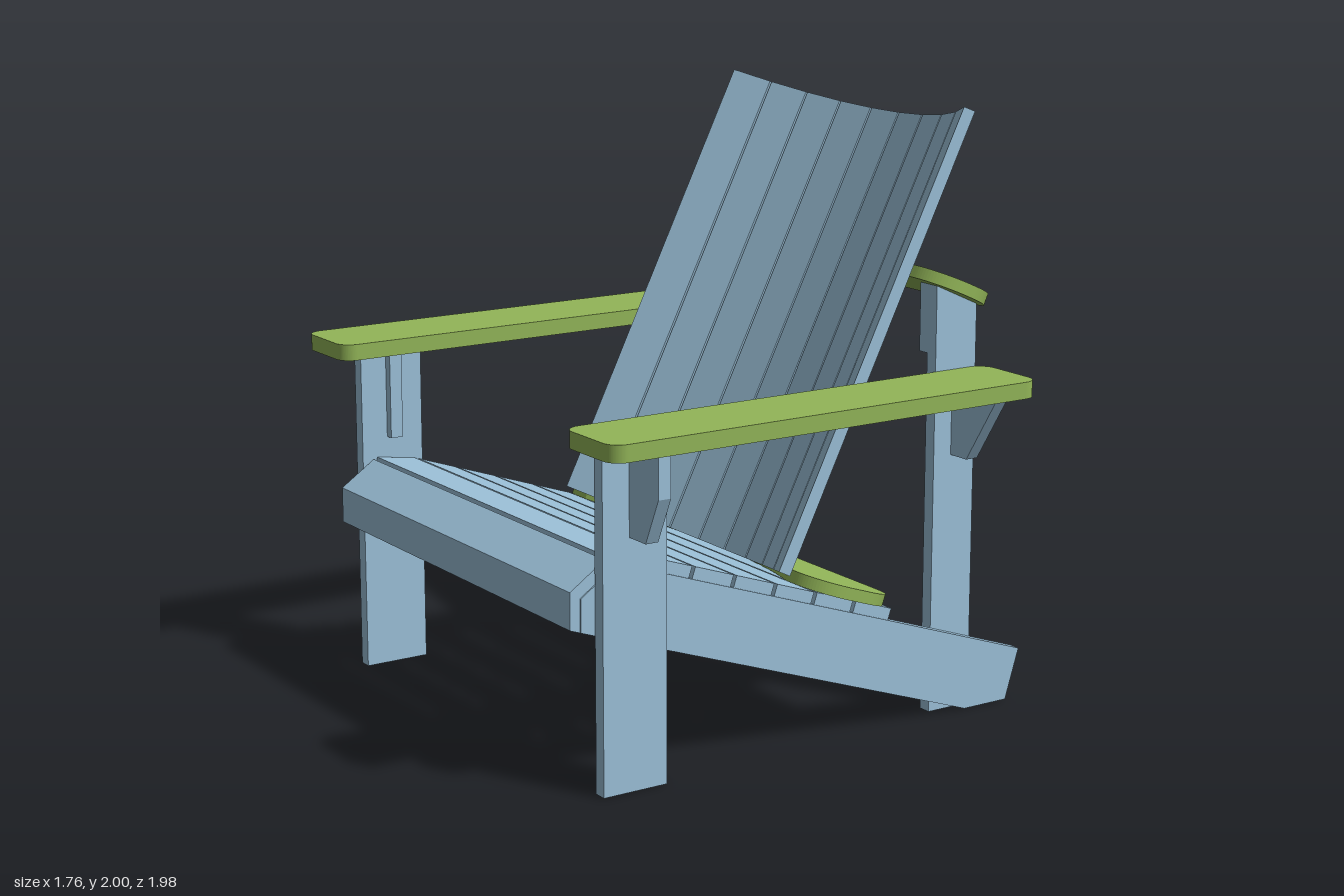
import * as THREE from 'three';

const BLUE = new THREE.MeshStandardMaterial({ color: 0x9bc0d8 });
const GREEN = new THREE.MeshStandardMaterial({ color: 0x92b558 });

function add(parent, name, geometry, material) {
  const mesh = new THREE.Mesh(geometry, material);
  mesh.name = name;
  parent.add(mesh);
  return mesh;
}

const polygon = (pts) => new THREE.Shape(pts.map(([a, b]) => new THREE.Vector2(a, b)));
const extrude = (shape, depth) =>
  new THREE.ExtrudeGeometry(shape, { depth, bevelEnabled: false, curveSegments: 10 });

// Side profile (x, y) extruded from z0 to z1
const sidePlate = (pts, z0, z1) => extrude(polygon(pts), z1 - z0).translate(0, 0, z0);

// Plan outline (x, z) as a board whose top lies at y = 0
const board = (shape, thickness) => extrude(shape, thickness).rotateX(Math.PI / 2);

function roundedRect(x0, x1, z0, z1, r) {
  const s = new THREE.Shape();
  s.absarc(x1 - r, z0 + r, r, -Math.PI / 2, 0);
  s.absarc(x1 - r, z1 - r, r, 0, Math.PI / 2);
  s.absarc(x0 + r, z1 - r, r, Math.PI / 2, Math.PI);
  s.absarc(x0 + r, z0 + r, r, Math.PI, Math.PI * 1.5);
  s.closePath();
  return s;
}

// Round-ended board with a concave front edge that cradles the back slats
function cradle(length, halfWidth, r, halfChord, depth) {
  const R = (halfChord ** 2 + depth ** 2) / (2 * depth);
  const a = Math.asin(halfChord / R);
  const s = new THREE.Shape();
  s.absarc(length - r, -halfWidth + r, r, -Math.PI / 2, 0);
  s.absarc(length - r, halfWidth - r, r, 0, Math.PI / 2);
  s.absarc(r, halfWidth - r, r, Math.PI / 2, Math.PI);
  for (let i = 0; i <= 24; i++) {
    const t = a - (2 * a * i) / 24;
    s.lineTo(depth - R + R * Math.cos(t), R * Math.sin(t));
  }
  s.absarc(r, -halfWidth + r, r, Math.PI, Math.PI * 1.5);
  s.closePath();
  return s;
}

const seatTop = (x) => 0.711 - 0.345 * (x + 0.57);

export function createModel() {
  const chair = new THREE.Group();
  chair.name = 'slattedGardenChair';

  // Legs, rails, brackets and arms on each side
  for (const side of [1, -1]) {
    const label = side > 0 ? 'Front' : 'Back';
    const plate = (name, pts, z0, z1) =>
      add(chair, name + label, side > 0 ? sidePlate(pts, z0, z1) : sidePlate(pts, -z1, -z0), BLUE);

    plate('armPost', [[-0.8, 0], [-0.57, 0], [-0.57, 1.1], [-0.8, 1.1]], 0.75, 0.795);
    plate('rearLeg', [[0.525, 0], [0.69, 0], [0.69, 1.365], [0.525, 1.44]], 0.665, 0.71);
    plate('backCleat', [[0.525, 1.21], [0.69, 1.21], [0.69, 1.365], [0.525, 1.44]], 0.625, 0.665);
    plate('seatRail', [
      [-0.85, 0.523], [0.645, 0], [0.82, 0], [0.873, 0.17], [0.34, 0.355],
      [-0.59, 0.676], [-0.75, 0.698], [-0.85, 0.63],
    ], 0.708, 0.75);

    // Arm brackets: outline in (z, y), thin along x
    const bracket = (name, pts, x0, width) => {
      const shape = polygon(pts.map(([z, y]) => [-z * side, y]));
      add(chair, name + label, extrude(shape, width).rotateY(Math.PI / 2).translate(x0, 0, 0), BLUE);
    };
    bracket('frontArmBracket',
      [[0.72, 1.1], [0.72, 0.81], [0.885, 0.81], [0.955, 0.96], [0.955, 1.1]], -0.705, 0.045);
    bracket('rearArmBracket', [[0.71, 1.1], [0.71, 0.87], [0.79, 0.87], [0.94, 1.1]], 0.595, 0.045);

    const z0 = side > 0 ? 0.71 : -0.99;
    const arm = add(chair, 'arm' + label, board(roundedRect(-0.885, 0.725, z0, z0 + 0.28, 0.055), 0.055), GREEN);
    arm.position.y = 1.155;
  }

  // Seat: front apron, sloped nose slat, gently pitched slat, then the even row
  const seat = new THREE.Group();
  seat.name = 'seat';
  chair.add(seat);
  const seatSlat = (name, x0, y0, x1, y1, t = 0.04) => {
    const len = Math.hypot(x1 - x0, y1 - y0);
    const m = add(seat, name, new THREE.BoxGeometry(len, t, 1.49).translate(len / 2, -t / 2, 0), BLUE);
    m.position.set(x0, y0, 0);
    m.rotation.z = Math.atan2(y1 - y0, x1 - x0);
  };
  add(seat, 'frontApron',
    sidePlate([[-0.885, 0.535], [-0.845, 0.521], [-0.845, 0.66], [-0.885, 0.655]], -0.745, 0.745), BLUE);
  seatSlat('noseSlat', -0.885, 0.655, -0.762, 0.738);
  seatSlat('seatSlat', -0.748, 0.744, -0.603, 0.722);
  for (let i = 0; i < 6; i++) {
    const x = -0.587 + i * 0.1555;
    seatSlat('seatSlat', x, seatTop(x), x + 0.143, seatTop(x + 0.143));
  }

  // Curved supports under and behind the back
  const lower = add(chair, 'lowerBackSupport', board(cradle(0.338, 0.79, 0.13, 0.61, 0.155), 0.04), GREEN);
  lower.position.set(0.02, 0.552, 0);
  lower.rotation.z = -Math.atan(0.345);
  const upper = add(chair, 'upperBackSupport', board(cradle(0.279, 0.79, 0.13, 0.635, 0.195), 0.04), GREEN);
  upper.position.set(0.483, 1.5, 0);
  upper.rotation.z = -Math.atan2(0.115, 0.254);

  // Back: nine slats on an arc, leaning away from the seat
  const back = new THREE.Group();
  back.name = 'back';
  back.position.set(-0.055, 0.565, 0.012);
  back.rotation.z = -0.4625;
  chair.add(back);
  const R = 1.133, step = 0.1361, height = 1.603, thick = 0.038;
  for (let i = -4; i <= 4; i++) {
    const slat = add(back, 'backSlat', new THREE.BoxGeometry(thick, height, 0.147), BLUE);
    const a = i * step, r = R + thick / 2 - 0.003;
    slat.position.set(r * Math.cos(a) - 0.928, height / 2, r * Math.sin(a));
    slat.rotation.y = -a;
  }

  return chair;
}
